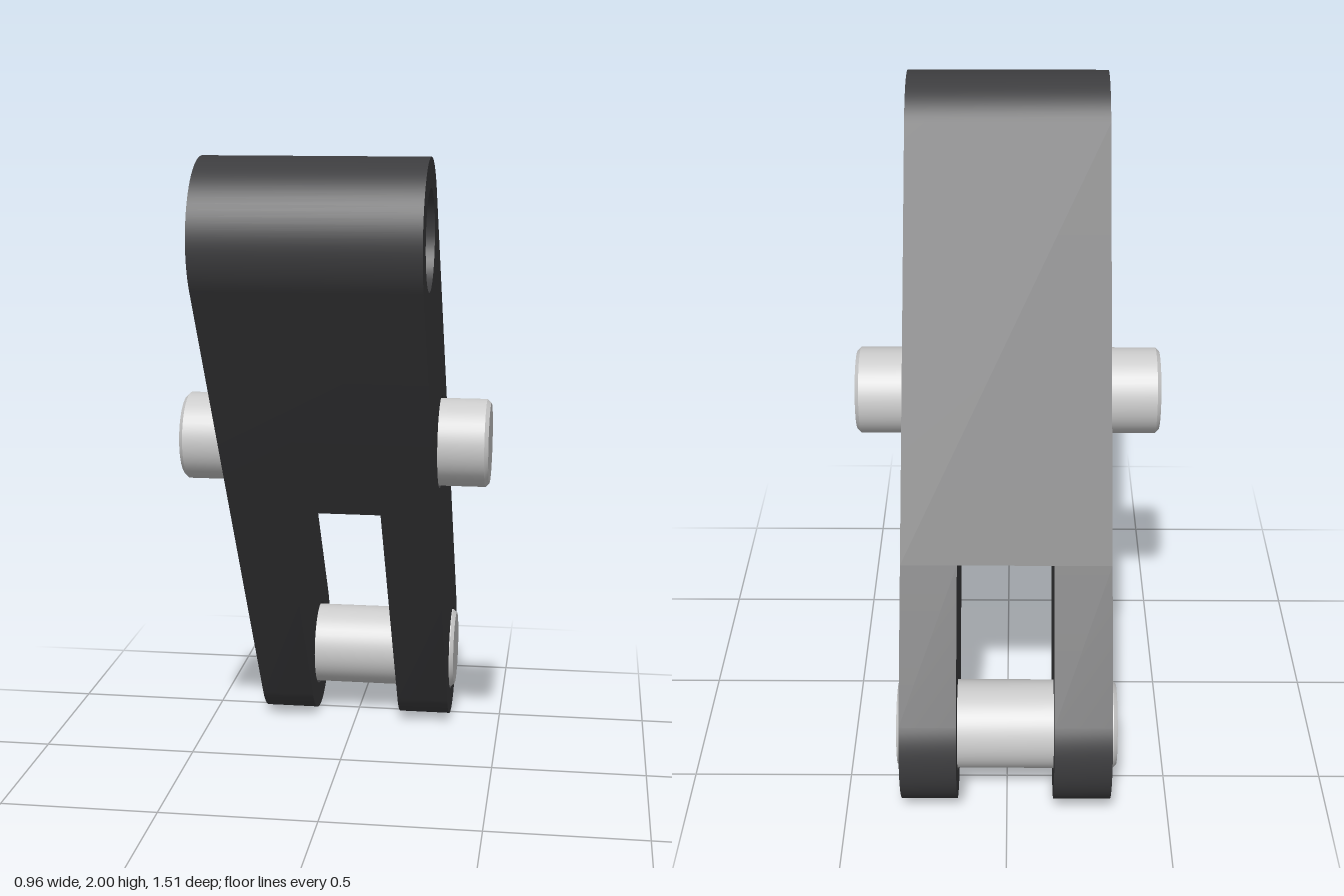
import * as THREE from 'three';
import { toCreasedNormals } from 'three/addons/utils/BufferGeometryUtils.js';

// Link profile is drawn in a (u, y) plane where u = -z
const TOP = new THREE.Vector2(-0.527, 1.77);
const MID = new THREE.Vector2(-0.067, 1.102);
const BOTTOM = new THREE.Vector2(0.527, 0.232);
const R = 0.23, HOLE_R = 0.145, PIN_R = 0.137;
const UP = TOP.clone().sub(BOTTOM).normalize();
const SIDE = new THREE.Vector2(UP.y, -UP.x); // towards the back edge
const ANGLE = SIDE.angle();

// Point on an edge of the link, at a distance along from the lower eye
const edgePoint = (along, sign) =>
  BOTTOM.clone().addScaledVector(UP, along).addScaledVector(SIDE, sign * R);
const slotFront = edgePoint(0.96, -1), slotBack = edgePoint(0.487, 1);
const cheekFront = edgePoint(0, -1);

function punch(shape, center) {
  const hole = new THREE.Path();
  hole.absarc(center.x, center.y, HOLE_R, 0, Math.PI * 2, true);
  shape.holes.push(hole);
}

function slab(name, shape, x0, x1, material) {
  const geo = new THREE.ExtrudeGeometry(shape, { depth: x1 - x0, bevelEnabled: false, curveSegments: 20 });
  geo.rotateY(Math.PI / 2).translate(x0, 0, 0);
  const mesh = new THREE.Mesh(toCreasedNormals(geo, 0.5), material);
  mesh.name = name;
  return mesh;
}

// Round pin with small chamfers at both ends, lying along x
function pin(name, center, half, material) {
  const c = 0.012;
  const profile = [[0, -half], [PIN_R - c, -half], [PIN_R, -half + c],
    [PIN_R, half - c], [PIN_R - c, half], [0, half]].map(([r, y]) => new THREE.Vector2(r, y));
  const geo = toCreasedNormals(new THREE.LatheGeometry(profile, 40), 0.5);
  geo.rotateZ(-Math.PI / 2);
  const mesh = new THREE.Mesh(geo, material);
  mesh.position.set(0, center.y, -center.x);
  mesh.name = name;
  return mesh;
}

export function createModel() {
  const group = new THREE.Group();
  group.name = 'chainLink';
  const dark = new THREE.MeshStandardMaterial({ color: 0x3c3c3e });
  const grey = new THREE.MeshStandardMaterial({ color: 0xcccccc });

  // Solid upper body, ending below at the slanted slot floor
  const upper = new THREE.Shape();
  upper.moveTo(slotFront.x, slotFront.y);
  upper.lineTo(slotBack.x, slotBack.y);
  upper.absarc(TOP.x, TOP.y, R, ANGLE, ANGLE + Math.PI, false);
  upper.closePath();
  punch(upper, TOP);
  punch(upper, MID);
  group.add(slab('upperBody', upper, -0.32, 0.326, dark));

  // Two fork cheeks around the slot
  const cheek = new THREE.Shape();
  cheek.moveTo(slotFront.x, slotFront.y);
  cheek.lineTo(cheekFront.x, cheekFront.y);
  cheek.absarc(BOTTOM.x, BOTTOM.y, R, ANGLE + Math.PI, ANGLE + Math.PI * 2, false);
  cheek.lineTo(slotBack.x, slotBack.y);
  cheek.closePath();
  punch(cheek, BOTTOM);
  group.add(slab('rightForkCheek', cheek, -0.32, -0.144, dark));
  group.add(slab('leftForkCheek', cheek, 0.153, 0.326, dark));

  // Pins
  group.add(pin('middlePin', MID, 0.48, grey));
  group.add(pin('forkPin', BOTTOM, 0.34, grey));
  return group;
}
